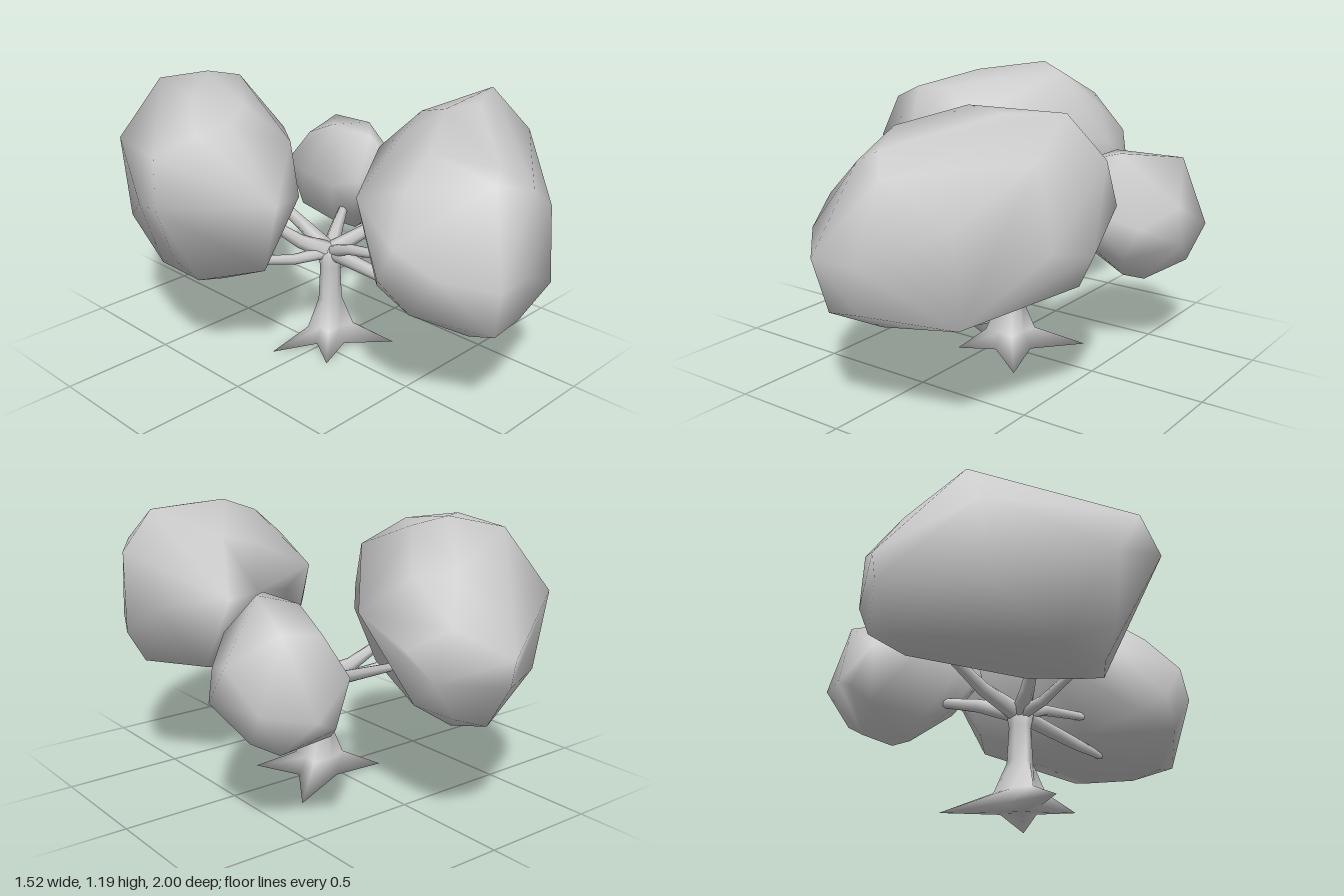
import * as THREE from 'three';
import { mergeVertices } from 'three/addons/utils/BufferGeometryUtils.js';
import { ConvexGeometry } from 'three/addons/geometries/ConvexGeometry.js';

const V = (x, y, z) => new THREE.Vector3(x, y, z);
const material = new THREE.MeshStandardMaterial({ color: 0xcccccc });

function addMesh(parent, name, geometry) {
  const mesh = new THREE.Mesh(geometry, material);
  mesh.name = name;
  parent.add(mesh);
}

// Skin rings of equal point count, closing both ends with a centre point
function loft(rings) {
  const n = rings[0].length, pts = rings.flat(), index = [];
  for (let i = 0; i < rings.length - 1; i++) {
    for (let j = 0; j < n; j++) {
      const a = i * n + j, b = i * n + (j + 1) % n;
      index.push(a, a + n, b, b, a + n, b + n);
    }
  }
  [0, rings.length - 1].forEach((r) => {
    const c = pts.length;
    pts.push(rings[r].reduce((s, p) => s.add(p), V(0, 0, 0)).divideScalar(n));
    for (let j = 0; j < n; j++) {
      const a = r * n + j, b = r * n + (j + 1) % n;
      if (r) index.push(c, b, a); else index.push(c, a, b);
    }
  });
  const g = new THREE.BufferGeometry().setFromPoints(pts);
  g.setIndex(index);
  g.computeVertexNormals();
  return g;
}

// Tapering limb through a few points
function limb(points, r0, r1) {
  const last = points.length - 1;
  return loft(points.map((p, i) => {
    const d = points[Math.min(i + 1, last)].clone().sub(points[Math.max(i - 1, 0)]).normalize();
    const u = V(0, 1, 0).cross(d).normalize(), w = u.clone().cross(d);
    const r = THREE.MathUtils.lerp(r0, r1, i / last);
    return Array.from({ length: 6 }, (_, k) => {
      const a = k / 6 * Math.PI * 2;
      return p.clone().addScaledVector(u, r * Math.cos(a)).addScaledVector(w, r * Math.sin(a));
    });
  }));
}

// Smooth-shaded leaf mass wrapped around its corner points;
// a dent is a [corner, new place] pair pushed in after wrapping
function crown(corners, dents = []) {
  const g = new ConvexGeometry([...corners, ...dents.map((d) => d[0])].map((c) => V(...c)));
  g.deleteAttribute('normal');
  g.deleteAttribute('uv');
  const merged = mergeVertices(g, 1e-4), pos = merged.attributes.position, p = V(0, 0, 0);
  for (let i = 0; i < pos.count; i++) {
    p.fromBufferAttribute(pos, i);
    const dent = dents.find((d) => p.distanceTo(V(...d[0])) < 1e-3);
    if (dent) pos.setXYZ(i, ...dent[1]);
  }
  merged.computeVertexNormals();
  return merged;
}

export function createModel() {
  const tree = new THREE.Group();
  tree.name = 'tree';

  // Trunk flaring into four pointed roots: [angle, reach at the ground]
  const spokes = [[0.03, 0.11], [0.91, 0.29], [1.65, 0.1], [2.42, 0.23],
    [2.95, 0.1], [3.46, 0.285], [4.5, 0.1], [5.58, 0.33]];
  // [height, root radius, hollow radius]; the ground ring uses the reach above
  const levels = [[0.005], [0.09, 0.108, 0.07], [0.22, 0.055, 0.05],
    [0.38, 0.047, 0.047], [0.44, 0.058, 0.052], [0.475, 0.025, 0.025]];
  addMesh(tree, 'trunk', loft(levels.map(([y, tip, hollow]) => spokes.map(([a, reach], k) => {
    const isRoot = k % 2 === 1, ground = tip === undefined;
    const r = ground ? reach : isRoot ? tip : hollow;
    return V(0.07 + r * Math.cos(a), y + (ground && !isRoot ? 0.015 : 0), -0.02 + r * Math.sin(a));
  }))));

  // Branches: middle point, end point, base radius
  const branches = new THREE.Group();
  branches.name = 'branches';
  tree.add(branches);
  [
    [[0.1, 0.5, -0.22], [0.1, 0.62, -0.52], 0.042],
    [[-0.04, 0.5, -0.1], [-0.17, 0.62, -0.19], 0.044],
    [[-0.1, 0.44, -0.07], [-0.3, 0.48, -0.13], 0.028],
    [[0.22, 0.49, -0.12], [0.4, 0.52, -0.24], 0.04],
    [[0.2, 0.52, 0.06], [0.34, 0.64, 0.17], 0.04],
    [[0.07, 0.42, 0.36], [0.1, 0.435, 0.58], 0.034],
    [[0.05, 0.5, 0.12], [0.04, 0.55, 0.38], 0.03],
  ].forEach(([mid, end, r], i) => {
    addMesh(branches, 'branch' + (i + 1), limb([V(0.07, 0.44, -0.02), V(...mid), V(...end)], r, 0.018));
  });

  // Three faceted leaf masses
  addMesh(tree, 'frontCrown', crown([
    [-0.31, 0.79, 0.67], [-0.29, 0.63, 0.58], [-0.14, 0.85, 0.33], [0.1, 0.8, 0.17],
    [0.36, 0.86, 0], [0.5, 0.84, 0], [0.71, 0.8, 0.21], [0.76, 1.01, 0.38],
    [0.74, 0.66, 0.42], [0.67, 0.7, 0.58], [0.47, 0.455, 0.86], [0.1, 0.65, 0.99],
    [-0.09, 0.65, 1], [-0.25, 0.7, 0.83],
    [-0.17, 0.96, 0.6], [-0.03, 1.08, 0.6], [0.22, 1.165, 0.47], [0.4, 1.155, 0.5],
    [0.61, 1.165, 0.41], [0.03, 1, 0.87], [0.1, 1.04, 0.83], [0.4, 1.06, 0.2],
    [0.2, 1, 0.25], [0.62, 1.02, 0.6], [0.18, 0.96, 0.93], [0.44, 0.8, 0.85],
    [0.67, 0.53, 0.4], [0.36, 0.42, 0.5], [0.1, 0.38, 0.84], [-0.05, 0.4, 0.84],
    [-0.24, 0.51, 0.7], [-0.05, 0.44, 0.96], [0.5, 0.52, 0.19], [0.3, 0.45, 0.3],
    [0.05, 0.47, 0.4], [0.36, 0.42, 0.82], [0.1, 0.46, 0.96], [-0.2, 0.55, 0.5],
  ]));
  addMesh(tree, 'backCrown', crown([
    [-0.07, 0.73, -1], [0.18, 0.65, -0.84], [0.21, 0.75, -0.72], [0.26, 0.86, -0.51],
    [-0.04, 0.75, -0.12], [-0.2, 0.8, 0.07], [-0.38, 0.82, 0.13],
    [-0.76, 0.84, -0.14], [-0.7, 0.8, -0.33], [-0.44, 0.9, -0.82],
    [-0.71, 1.02, -0.2], [-0.54, 1.09, -0.15], [-0.37, 1.155, -0.38], [-0.13, 1.19, -0.57],
    [0, 1.16, -0.51], [-0.38, 1.1, -0.13], [-0.22, 1.13, -0.23], [-0.15, 1, -0.03],
    [-0.27, 1.155, -0.73], [0.02, 1.03, -0.78], [0.12, 1, -0.65], [0.13, 0.85, -0.87],
    [-0.61, 0.55, -0.24], [-0.52, 0.44, -0.2], [-0.39, 0.405, -0.2], [-0.2, 0.43, -0.3],
    [-0.51, 0.435, -0.46], [-0.46, 0.56, -0.74], [-0.07, 0.44, -0.87], [-0.07, 0.62, -0.98],
    [0.09, 0.5, -0.86], [0, 0.425, -0.75], [-0.35, 0.5, 0.02], [0.1, 0.5, -0.65],
    [-0.05, 0.55, -0.25],
  ], [[[0.16, 0.78, -0.36], [0.06, 0.78, -0.38]]]));
  addMesh(tree, 'sideCrown', crown([
    [0.26, 0.65, -0.2], [0.3, 0.65, -0.42], [0.37, 0.65, -0.6], [0.46, 0.48, -0.63],
    [0.54, 0.52, -0.63], [0.73, 0.56, -0.54], [0.76, 0.54, -0.25], [0.72, 0.68, -0.3],
    [0.65, 0.62, -0.1], [0.5, 0.7, 0.05], [0.38, 0.72, 0.07], [0.28, 0.7, -0.05],
    [0.4, 0.88, -0.09], [0.5, 0.9, -0.19], [0.4, 0.88, -0.33], [0.42, 0.8, -0.5],
    [0.62, 0.84, -0.52], [0.4, 0.8, 0],
    [0.37, 0.42, -0.3], [0.49, 0.355, -0.26], [0.58, 0.35, -0.28], [0.58, 0.35, -0.45],
    [0.7, 0.42, -0.43], [0.55, 0.46, -0.14], [0.45, 0.53, -0.05], [0.35, 0.5, -0.15],
    [0.42, 0.42, -0.55],
  ]));
  return tree;
}
